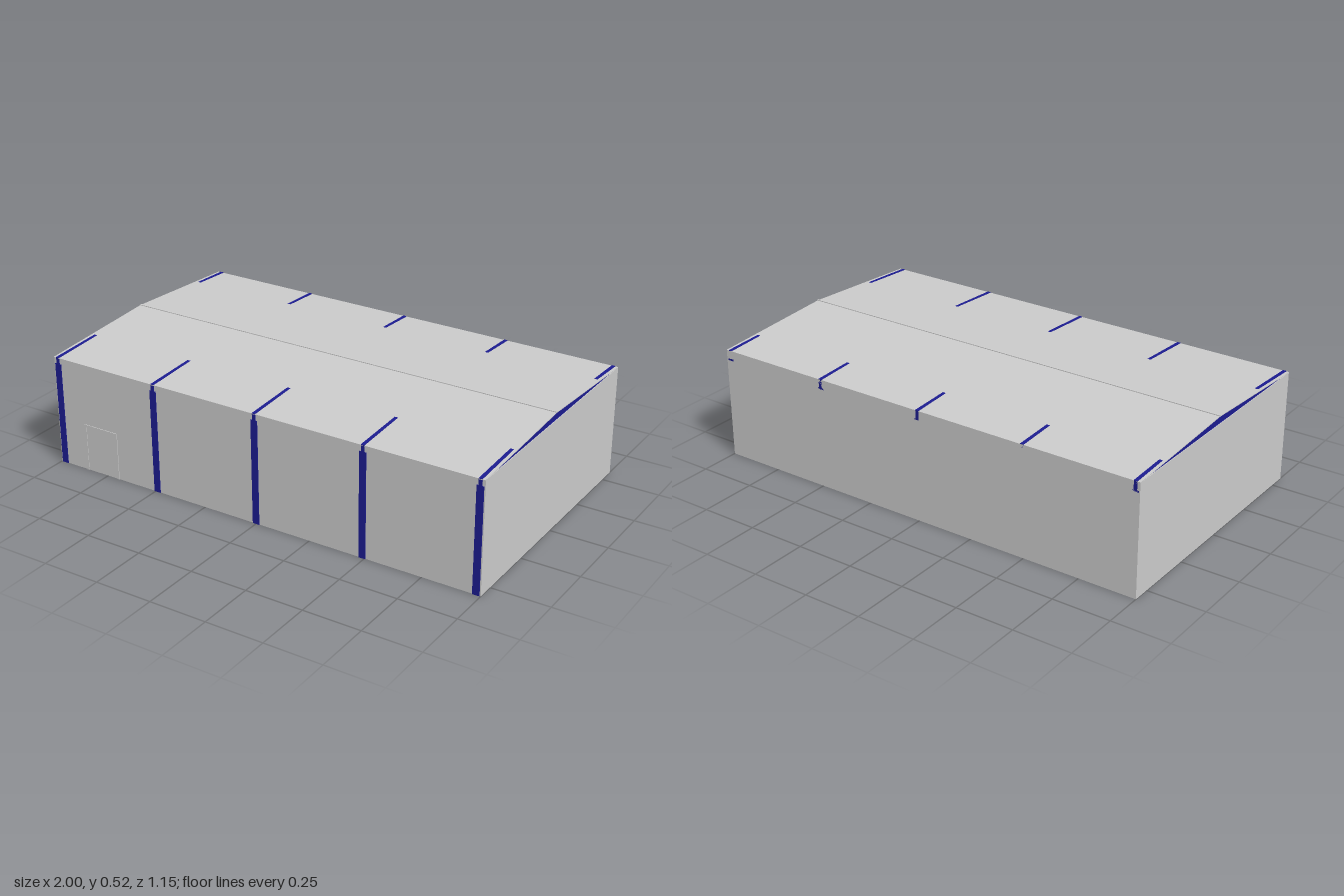
import * as THREE from 'three';

const grey = new THREE.MeshStandardMaterial({ color: 0xcccccc, side: THREE.DoubleSide });
const blue = new THREE.MeshStandardMaterial({ color: 0x1c1c90, side: THREE.DoubleSide });

const T = 0.003;        // sheet thickness
const EAVE = 0.483, RIDGE = 0.515, HALF = 0.575;
const roofY = z => RIDGE - (RIDGE - EAVE) * Math.abs(z) / HALF;

// Box given by its corner limits
function box(parent, name, mat, x0, x1, y0, y1, z0, z1) {
  const m = new THREE.Mesh(new THREE.BoxGeometry(x1 - x0, y1 - y0, z1 - z0), mat);
  m.position.set((x0 + x1) / 2, (y0 + y1) / 2, (z0 + z1) / 2);
  m.name = name;
  parent.add(m);
  return m;
}

// Closed z-y outline extruded along x, centred on x
function prism(parent, name, mat, points, x, width) {
  const shape = new THREE.Shape(points.map(([z, y]) => new THREE.Vector2(-z, y)));
  const geo = new THREE.ExtrudeGeometry(shape, { depth: width, bevelEnabled: false });
  geo.rotateY(Math.PI / 2);
  geo.translate(x - width / 2, 0, 0);
  const m = new THREE.Mesh(geo, mat);
  m.name = name;
  parent.add(m);
}

// Calls fn for every neighbouring pair of seam positions
const eachSpan = (seams, fn) => seams.slice(1).forEach((b, i) => fn(seams[i], b));

export function createModel() {
  const model = new THREE.Group();
  model.name = 'portalFrameHall';

  const frontSeams = [-1, -0.89, -0.67, -0.45, -0.225, -0.11, 0.11, 0.33, 0.55, 0.775, 0.89, 1];
  const backSeams = [-1, -0.89, -0.78, -0.555, -0.33, -0.11, 0.22, 0.445, 0.665, 0.89, 1];
  const endSeams = Array.from({ length: 11 }, (_, i) => (i - 5) * 0.115);
  const rows = [0, 0.24, 0.481];

  // Wall cladding in two rows of panels
  const walls = new THREE.Group();
  walls.name = 'walls';
  model.add(walls);
  eachSpan(rows, (y0, y1) => {
    eachSpan(frontSeams, (a, b) => box(walls, 'frontWallPanel', grey, a, b, y0, y1, 0.572 - T, 0.572));
    eachSpan(backSeams, (a, b) => box(walls, 'backWallPanel', grey, a, b, y0, y1, -HALF, -HALF + T));
    for (const s of [-1, 1]) {
      const x0 = s < 0 ? -1 : 1 - T;
      eachSpan(endSeams, (a, b) => box(walls, 'endWallPanel', grey, x0, x0 + T, y0, y1,
        Math.max(a, -HALF), Math.min(b, 0.572)));
    }
  });

  // Roof sheets, gables left open at both ends
  const roof = new THREE.Group();
  roof.name = 'roof';
  model.add(roof);
  for (const [side, seams] of [[1, frontSeams], [-1, backSeams]]) {
    eachSpan([0, 0.337, HALF], (za, zb) => eachSpan(seams, (a, b) => {
      const z0 = side * za, z1 = side * zb;
      prism(roof, 'roofPanel', grey,
        [[z0, roofY(z0)], [z1, roofY(z1)], [z1, roofY(z1) - T], [z0, roofY(z0) - T]],
        (a + b) / 2, b - a);
    }));
  }
  box(roof, 'ridgeCap', grey, -1, 1, RIDGE - 0.003, RIDGE + 0.003, -0.004, 0.004);

  // Steel portal frames: I-section columns and rafters
  for (const x of [-0.98, -0.49, 0, 0.49, 0.98]) {
    const frame = new THREE.Group();
    frame.name = 'portalFrame';
    model.add(frame);
    for (const s of [-1, 1]) {
      // Columns stand just proud of the front wall and just inside the back one
      const outer = s > 0 ? 0.575 : -0.571;
      const part = (name, w, d0, d1) => {
        const zs = [outer - s * d0, outer - s * d1].sort((p, q) => p - q);
        box(frame, name, blue, x - w / 2, x + w / 2, 0, 0.455, zs[0], zs[1]);
      };
      part('columnOuterFlange', 0.03, 0, 0.006);
      part('columnWeb', 0.01, 0.006, 0.03);
      part('columnInnerFlange', 0.03, 0.03, 0.036);

      // Rafter top rises through the roof near the eaves only
      const cross = s > 0 ? 0.33 : 0.4;
      const end = s * 0.575;
      const band = (name, w, top, bottom) => prism(frame, name, blue, [
        [0, RIDGE - 0.0035 - top], [s * cross, roofY(cross) - top], [end, EAVE + 0.002 - top],
        [end, EAVE - bottom], [s * cross, roofY(cross) - bottom], [0, RIDGE - bottom]], x, w);
      band('rafterWeb', 0.015, 0, 0.04);
      band('rafterBottomFlange', 0.03, 0.038, 0.045);
    }
  }

  // Personnel door near the right front corner
  const door = new THREE.Group();
  door.name = 'door';
  model.add(door);
  box(door, 'doorLeaf', grey, -0.85, -0.70, 0.005, 0.2, 0.567, 0.573);
  for (const x of [-0.855, -0.695]) box(door, 'doorJamb', grey, x - 0.005, x + 0.005, 0, 0.21, 0.566, 0.575);
  box(door, 'doorHead', grey, -0.85, -0.70, 0.2, 0.21, 0.566, 0.575);

  return model;
}
